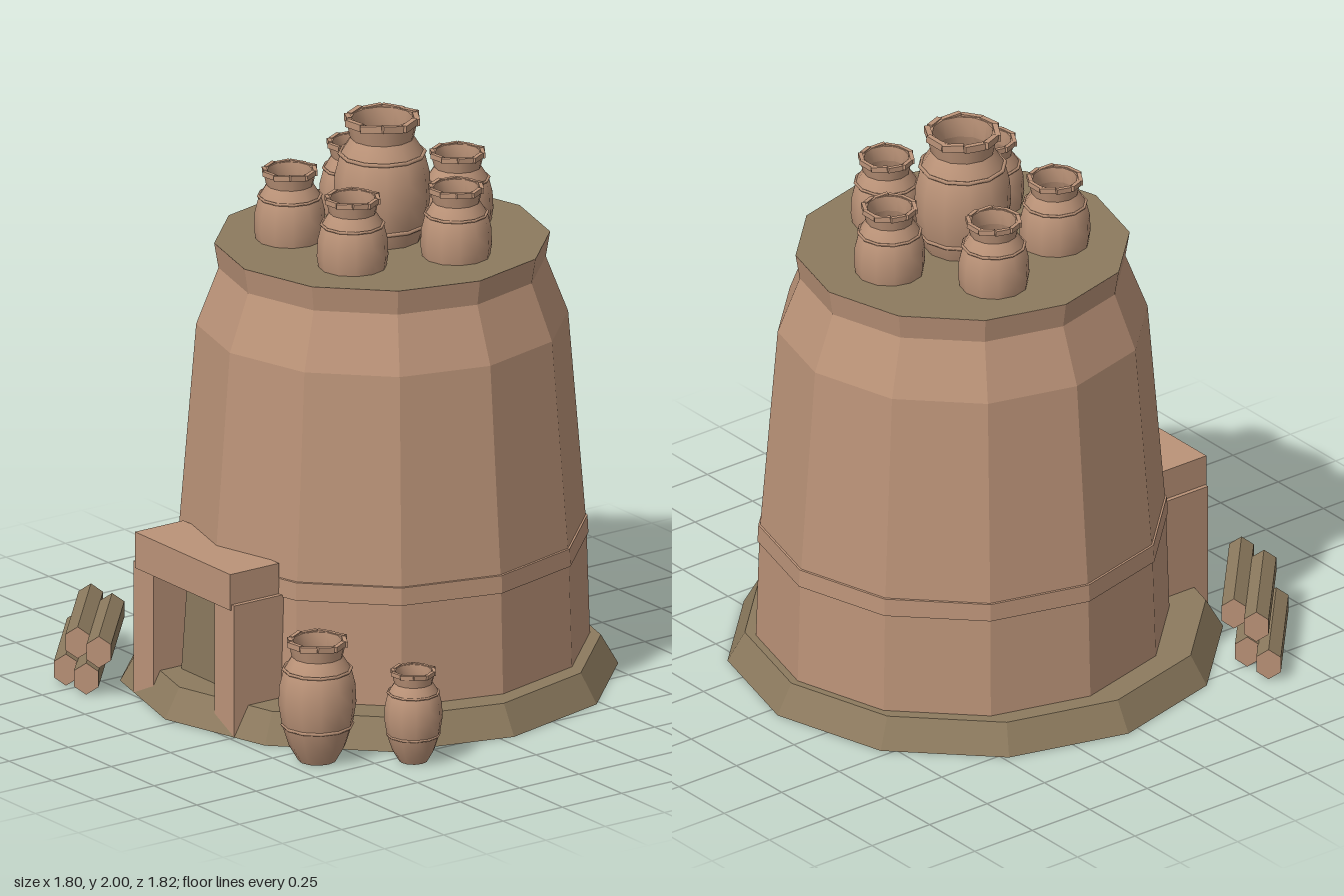
import * as THREE from 'three';
import { mergeGeometries, toCreasedNormals } from 'three/addons/utils/BufferGeometryUtils.js';

const mat = (name, color) => {
  const m = new THREE.MeshStandardMaterial({ color });
  m.name = name;
  return m;
};

export function createModel() {
  const clay = mat('clay', 0xbb9378);
  const earth = mat('earth', 0x8c7a5e);
  const model = new THREE.Group();
  model.name = 'potteryKiln';

  const add = (parent, name, geo, material, x = 0, y = 0, z = 0) => {
    const m = new THREE.Mesh(geo, material);
    m.name = name;
    m.position.set(x, y, z);
    parent.add(m);
    return m;
  };
  const lathe = (pts, n) => new THREE.LatheGeometry(pts.map(p => new THREE.Vector2(...p)), n);
  // faceted twelve-sided turning, very slightly deeper than wide
  const faceted = pts => {
    const g = lathe(pts, 12).toNonIndexed();
    g.scale(0.985, 1, 1);
    g.computeVertexNormals();
    return g;
  };

  // Sloped earth foundation
  add(model, 'foundation', faceted([[0, 0], [0.86, 0], [0.8, 0.105], [0, 0.105]]), earth, -0.045, 0, -0.05);

  // Tapering kiln wall, raised band and roof
  const cx = -0.045, cz = -0.105;
  add(model, 'kilnWall', faceted([[0.718, 0.09], [0.705, 0.5], [0.642, 1.27], [0.565, 1.47], [0.58, 1.56]]), clay, cx, 0, cz);
  add(model, 'kilnBand', faceted([[0.7, 0.465], [0.712, 0.467], [0.709, 0.53], [0.7, 0.532]]), clay, cx, 0, cz);
  add(model, 'kilnRoof', faceted([[0.58, 1.559], [0, 1.559]]), earth, cx, 0, cz);

  // Doorway: two jambs, a lintel and the tapered door panel
  const door = new THREE.Group();
  door.name = 'doorway';
  model.add(door);
  for (const [name, x] of [['rightJamb', -0.283], ['leftJamb', 0.19]])
    add(door, name, new THREE.BoxGeometry(0.116, 0.475, 0.22), clay, x, 0.2375, 0.62);
  add(door, 'lintel', new THREE.BoxGeometry(0.557, 0.13, 0.205), clay, -0.047, 0.52, 0.6325);
  const panel = new THREE.Shape([[-0.165, 0], [0.165, 0], [0.12, 0.44], [-0.12, 0.44]].map(p => new THREE.Vector2(...p)));
  add(door, 'doorPanel', new THREE.ExtrudeGeometry(panel, { depth: 0.1, bevelEnabled: false }), earth, cx, 0, 0.53);

  // Pot geometry: hollow body, cord bands and a rough coiled lip
  const body = toCreasedNormals(lathe([
    [0.066, 0], [0.098, 0.055], [0.122, 0.13], [0.134, 0.205], [0.131, 0.27], [0.116, 0.33],
    [0.088, 0.375], [0.098, 0.42], [0.1, 0.432], [0.084, 0.432], [0.078, 0.375], [0.105, 0.32],
    [0.122, 0.205], [0.06, 0.01],
  ], 12), 0.7);
  const bottom = new THREE.CylinderGeometry(0.066, 0.066, 0.012, 12);
  const cord = (r, y) => {
    const g = new THREE.TorusGeometry(r, 0.006, 5, 12);
    g.rotateX(Math.PI / 2);
    g.translate(0, y, 0);
    return g;
  };
  const cords = mergeGeometries([cord(0.121, 0.13), cord(0.117, 0.33)]);
  const lipPieces = [];
  for (let i = 0; i < 10; i++) {
    const g = new THREE.BoxGeometry(0.06, 0.02, 0.015);
    g.rotateZ(0.12 * Math.sin(i * 2.3));
    g.rotateY(0.12);
    g.translate(0, 0.426, 0.093);
    g.rotateY(i * Math.PI / 5);
    lipPieces.push(g);
  }
  const lip = mergeGeometries(lipPieces);

  const pot = (name, x, y, z, s) => {
    const g = new THREE.Group();
    g.name = name;
    add(g, 'potBody', body, clay);
    add(g, 'potBottom', bottom, earth, 0, 0.007, 0);
    add(g, 'potCords', cords, clay);
    add(g, 'potLip', lip, clay);
    g.position.set(x, y, z);
    g.scale.setScalar(s);
    model.add(g);
  };

  // Large chimney pot ringed by five smaller ones, set into the roof
  pot('centreChimneyPot', cx, 1.454, cz, 1.25);
  for (let i = 0; i < 5; i++) {
    const a = Math.PI + i * Math.PI * 0.4;
    pot('chimneyPot', cx + 0.312 * Math.sin(a), 1.408, cz + 0.318 * Math.cos(a), 0.92);
  }

  // Pots standing on the ground
  pot('largeGroundPot', 0.602, 0, 0.635, 1);
  pot('smallGroundPot', 0.8, 0, 0.373, 0.75);

  // Stacked firewood: two logs below, two above
  const start = [[-0.875, 0.058], [-0.757, 0.058], [-0.807, 0.175], [-0.683, 0.175]];
  const dir = new THREE.Vector3(0.345, 0, 0.305);
  const logGeo = new THREE.CylinderGeometry(0.057, 0.057, dir.length(), 6).toNonIndexed();
  logGeo.computeVertexNormals();
  logGeo.scale(0.85, 1, 1);
  logGeo.rotateX(Math.PI / 2);
  for (const [x, y] of start) {
    const log = add(model, 'log', logGeo, [earth, clay, clay], x + dir.x / 2, y, 0.573 + dir.z / 2);
    log.rotation.y = Math.atan2(dir.x, dir.z);
  }
  return model;
}
